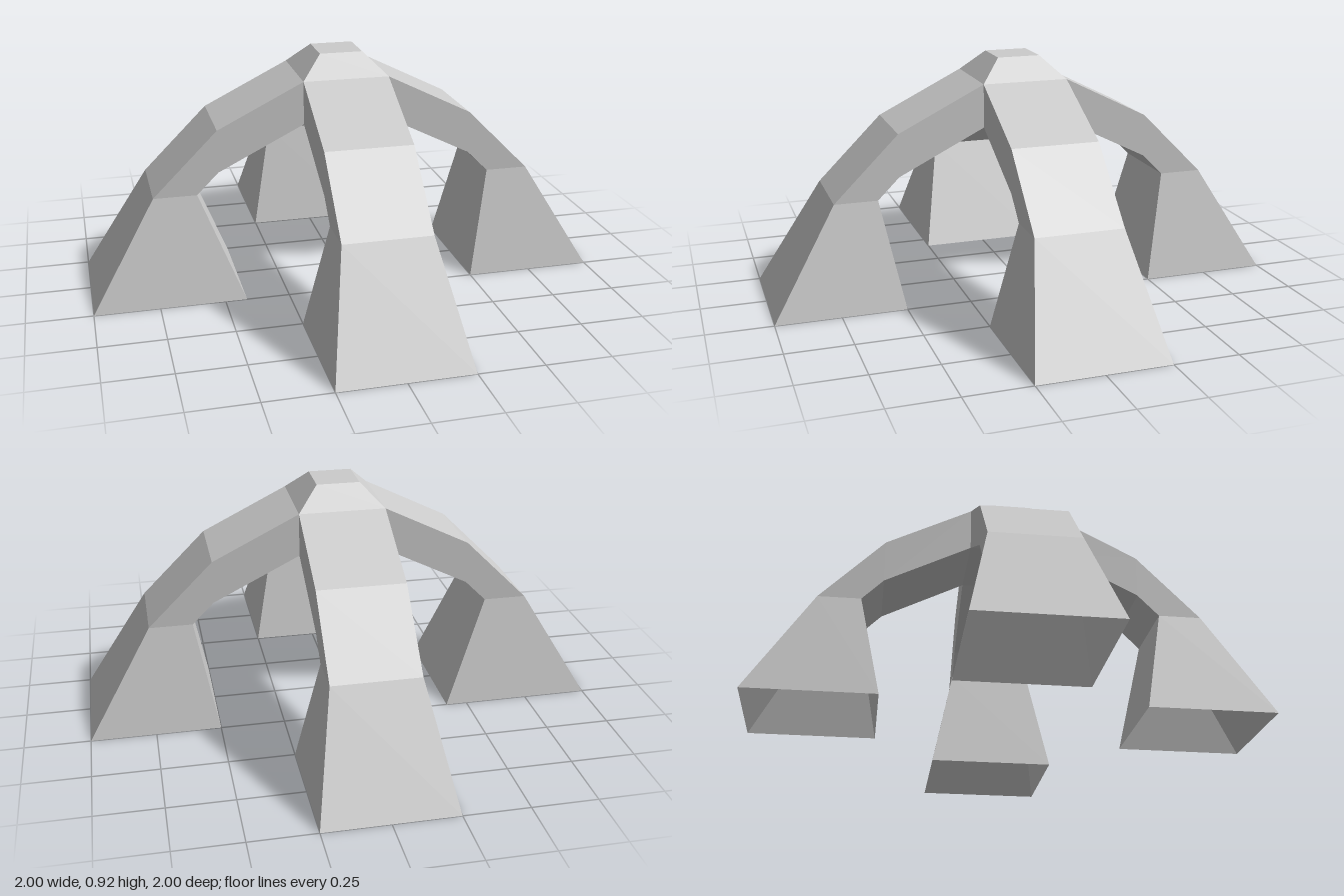
import * as THREE from 'three';

const U = 1 / 12; // modelling unit
const material = new THREE.MeshStandardMaterial({ color: 0xcccccc, flatShading: true, side: THREE.DoubleSide });

// Hollow four-sided leg running along +z, from the hub out to an open foot
function legGeometry(footInner) {
  // half width, outer radius, outer height, inner radius, inner height
  const sections = [
    [2, 2, 10, 2, 8],
    [2, 6, 8, 6, 6],
    [2, 9, 5, 7, 5],
    [3, 12, 0, footInner, 0],
  ];
  const rings = sections.map(([w, ro, yo, ri, yi]) =>
    [[w, yo, ro], [-w, yo, ro], [-w, yi, ri], [w, yi, ri]].map((p) => p.map((v) => v * U)));
  const positions = [];
  for (let i = 0; i < rings.length - 1; i++) {
    for (let j = 0; j < 4; j++) {
      const k = (j + 1) % 4;
      const a = rings[i][j], b = rings[i][k], c = rings[i + 1][j], d = rings[i + 1][k];
      positions.push(...a, ...b, ...c, ...b, ...d, ...c);
    }
  }
  const geometry = new THREE.BufferGeometry();
  geometry.setAttribute('position', new THREE.Float32BufferAttribute(positions, 3));
  geometry.computeVertexNormals();
  return geometry;
}

export function createModel() {
  const group = new THREE.Group();
  group.name = 'fourLeggedArch';
  const add = (name, geometry) => {
    const mesh = new THREE.Mesh(geometry, material);
    mesh.name = name;
    group.add(mesh);
    return mesh;
  };

  // Four legs; the right one has a deeper foot
  ['frontLeg', 'leftLeg', 'backLeg', 'rightLeg'].forEach((name, i) => {
    add(name, legGeometry(name === 'rightLeg' ? 5 : 6)).rotation.y = i * Math.PI / 2;
  });

  // Bevelled cap over the crossing
  const profile = [[2, 10], [1, 11], [0, 11]].map(([r, y]) => new THREE.Vector2(r * U * Math.SQRT2, y * U));
  add('crownCap', new THREE.LatheGeometry(profile, 4, Math.PI / 4));

  // Flat underside of the crossing
  const underside = add('crownUnderside', new THREE.PlaneGeometry(4 * U, 4 * U));
  underside.rotation.x = Math.PI / 2;
  underside.position.y = 8 * U;

  return group;
}
